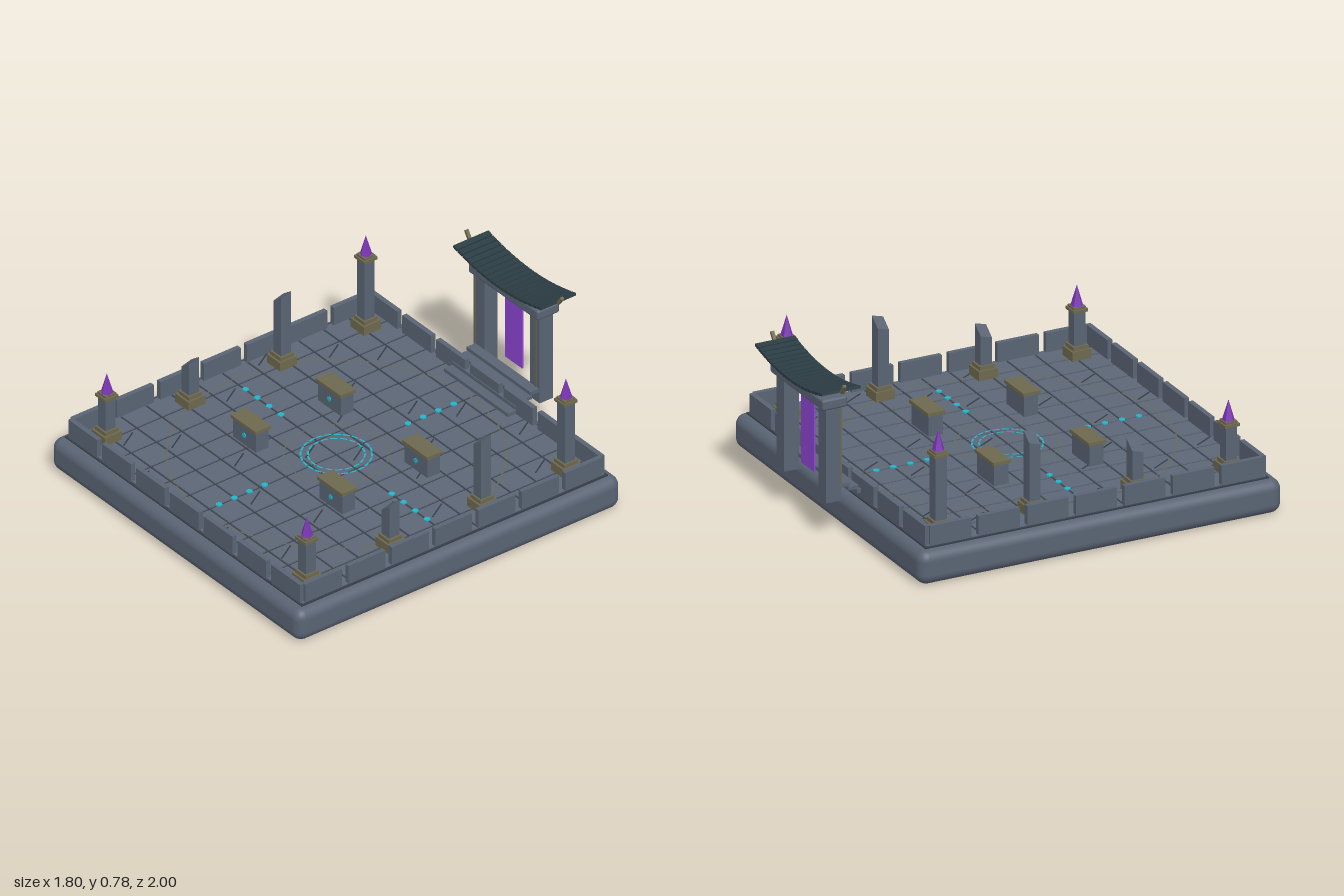
import * as THREE from 'three';
import { RoundedBoxGeometry } from 'three/addons/geometries/RoundedBoxGeometry.js';
import { mergeGeometries } from 'three/addons/utils/BufferGeometryUtils.js';

const mat = (name, color) => {
  const m = new THREE.MeshStandardMaterial({ color });
  m.name = name;
  return m;
};

export function createModel() {
  const stone = mat('stone', 0x596373);
  const floorStone = mat('floor stone', 0x5d6675);
  const groove = mat('dark groove', 0x363d48);
  const bronze = mat('bronze', 0x6d684e);
  const roofTile = mat('roof tile', 0x2b3c43);
  const portalGlow = mat('portal purple', 0x8d46d4);
  const crystal = mat('crystal purple', 0x7a36b4);
  const glow = mat('cyan glow', 0x22b4c8);

  const model = new THREE.Group();
  model.name = 'templeArena';
  const CZ = 0.093;      // centre of the platform in z
  const FLOOR = 0.173;   // walking surface

  const add = (name, geo, material, x = 0, y = 0, z = 0, parent = model) => {
    const m = new THREE.Mesh(geo, material);
    m.name = name;
    m.position.set(x, y, z);
    parent.add(m);
    return m;
  };
  // box standing on y
  const box = (name, w, h, d, material, x, y, z, parent) =>
    add(name, new THREE.BoxGeometry(w, h, d), material, x, y + h / 2, z, parent);

  // Platform and paved floor
  add('platform', new RoundedBoxGeometry(1.8, 0.163, 1.81, 4, 0.05), stone, 0, 0.0815, 0.095);
  box('floorBed', 1.71, 0.008, 1.71, groove, 0, 0.16, CZ);
  const tiles = [];
  const pitch = 1.7 / 12;
  for (let i = 0; i < 12; i++) {
    for (let j = 0; j < 12; j++) {
      tiles.push(new THREE.BoxGeometry(pitch - 0.011, 0.01, pitch - 0.011)
        .translate((i - 5.5) * pitch, FLOOR - 0.005, CZ + (j - 5.5) * pitch));
    }
  }
  add('floorTiles', mergeGeometries(tiles), floorStone);

  // Cracks, all slanting the same way
  const cracks = [];
  for (let r = 0; r < 6; r++) {
    for (let c = 0; c < 6; c++) {
      const x = -0.8 + c * 0.285 + (r % 2) * 0.14, z = -0.69 + r * 0.287 + (c % 2) * 0.13;
      if (x > 0.78 || (r + c * 2) % 5 === 4) continue;
      cracks.push(new THREE.BoxGeometry(0.006, 0.003, 0.11).rotateY(0.55).translate(x, FLOOR + 0.001, z));
    }
  }
  add('floorCracks', mergeGeometries(cracks), groove);

  // Dashed inlaid circles
  const dashedRing = (name, radius, width, count, fill, material) => {
    const step = Math.PI * 2 / count, parts = [];
    for (let i = 0; i < count; i++) {
      parts.push(new THREE.RingGeometry(radius - width / 2, radius + width / 2, 3, 1, i * step, step * fill)
        .rotateX(-Math.PI / 2));
    }
    add(name, mergeGeometries(parts), material, 0, FLOOR + 0.003, CZ);
  };
  dashedRing('outerGlowRing', 0.158, 0.009, 24, 0.8, glow);
  dashedRing('innerGlowRing', 0.126, 0.008, 18, 0.75, glow);
  dashedRing('smallBronzeRing', 0.233, 0.006, 40, 0.6, bronze);
  dashedRing('largeBronzeRing', 0.75, 0.007, 110, 0.6, bronze);

  // Glowing markers along the two axes
  for (let arm = 0; arm < 4; arm++) {
    for (let k = 0; k < 4; k++) {
      const r = 0.4 + k * 0.085, a = arm * Math.PI / 2;
      add('glowMarker', new THREE.CylinderGeometry(0.016, 0.016, 0.006, 6), glow,
        r * Math.cos(a), FLOOR + 0.002, CZ + r * Math.sin(a));
    }
  }

  // Parapet: seven blocks on every side
  for (let k = -3; k <= 3; k++) {
    for (const s of [-1, 1]) {
      box('parapetBlock', 0.208, 0.095, 0.024, stone, k * 0.244, 0.17, CZ + s * 0.838);
      box('parapetBlock', 0.024, 0.095, 0.206, stone, s * 0.835, 0.17, CZ + k * 0.242);
    }
  }

  // Columns
  const plinth = (g) => {
    box('plinth', 0.095, 0.045, 0.095, bronze, 0, FLOOR, 0, g);
    box('plinthStep', 0.075, 0.018, 0.075, bronze, 0, FLOOR + 0.045, 0, g);
  };
  const columnAt = (name, x, z) => {
    const g = new THREE.Group();
    g.name = name;
    g.position.set(x, 0, z);
    model.add(g);
    plinth(g);
    return g;
  };
  const crystalColumn = (x, z, top) => {
    const g = columnAt('crystalColumn', x, z);
    box('shaft', 0.056, top - 0.21, 0.056, stone, 0, 0.2, 0, g);
    box('capital', 0.074, 0.014, 0.074, bronze, 0, top - 0.012, 0, g);
    box('capitalTop', 0.06, 0.01, 0.06, bronze, 0, top + 0.002, 0, g);
    const geo = new THREE.ConeGeometry(0.03, 0.1, 5).toNonIndexed();
    geo.computeVertexNormals();
    add('crystal', geo, crystal, 0, top + 0.06, 0, g);
  };
  const brokenColumn = (x, z, top) => {
    const g = columnAt('brokenColumn', x, z);
    const geo = new THREE.BoxGeometry(0.056, top - 0.2, 0.056).toNonIndexed();
    const p = geo.attributes.position;
    // slanting fracture, highest at +x and the back
    for (let i = 0; i < p.count; i++) {
      if (p.getY(i) > 0) p.setY(i, p.getY(i) - (0.028 - p.getX(i)) * 0.75 - (p.getZ(i) + 0.028) * 0.28);
    }
    geo.computeVertexNormals();
    add('brokenShaft', geo, stone, 0, 0.2 + (top - 0.2) / 2, 0, g);
  };
  for (const s of [-1, 1]) {
    crystalColumn(s * 0.722, 0.816, 0.408);
    crystalColumn(s * 0.722, -0.63, 0.552);
    brokenColumn(s * 0.722, -0.163, 0.56);
    brokenColumn(s * 0.722, 0.35, 0.42);

    // Altars with bronze lids and a glowing mark
    for (const z of [-0.145, 0.33]) {
      box('altar', 0.165, 0.1, 0.07, stone, s * 0.312, FLOOR, z);
      box('altarLid', 0.182, 0.016, 0.086, bronze, s * 0.312, FLOOR + 0.1, z);
      add('altarMark', new THREE.CylinderGeometry(0.013, 0.013, 0.006, 6).rotateX(Math.PI / 2),
        glow, s * 0.312, FLOOR + 0.05, z + 0.036);
    }
  }

  // Gate: steps, posts, lintel and portal
  const gate = new THREE.Group();
  gate.name = 'gate';
  model.add(gate);
  for (let i = 0; i < 4; i++) {
    box('gateStep', 0.46, 0.018, 0.05, stone, 0, 0.175 + i * 0.021, -0.712 - i * 0.042, gate);
  }
  for (const s of [-1, 1]) {
    box('gatePost', 0.07, 0.455, 0.075, stone, s * 0.2, 0.18, -0.898, gate);
    box('postTrim', 0.009, 0.38, 0.006, bronze, s * 0.2 + (s < 0 ? -0.031 : 0.008), 0.25, -0.859, gate);
  }
  add('lintel', new RoundedBoxGeometry(0.505, 0.053, 0.125, 2, 0.012), stone, 0, 0.658, -0.898, gate);
  box('portal', 0.125, 0.335, 0.008, portalGlow, 0, 0.26, -0.9, gate);

  // Upswept roof of narrow tiles, with a horn at each end
  const count = 19;
  for (let i = 0; i < count; i++) {
    const x = (i / (count - 1) - 0.5) * 0.605;
    const tile = add('roofTile', new THREE.BoxGeometry(0.029, 0.013, 0.196), roofTile,
      x, 0.702 + 0.04 * (x / 0.3) ** 2, -0.902, gate);
    tile.rotation.z = Math.atan(0.08 * x / 0.09);
  }
  for (const s of [-1, 1]) {
    const horn = add('roofHorn', new THREE.BoxGeometry(0.014, 0.05, 0.016), bronze, s * 0.332, 0.759, -0.9, gate);
    horn.rotation.z = -s * 0.6;
  }
  return model;
}
